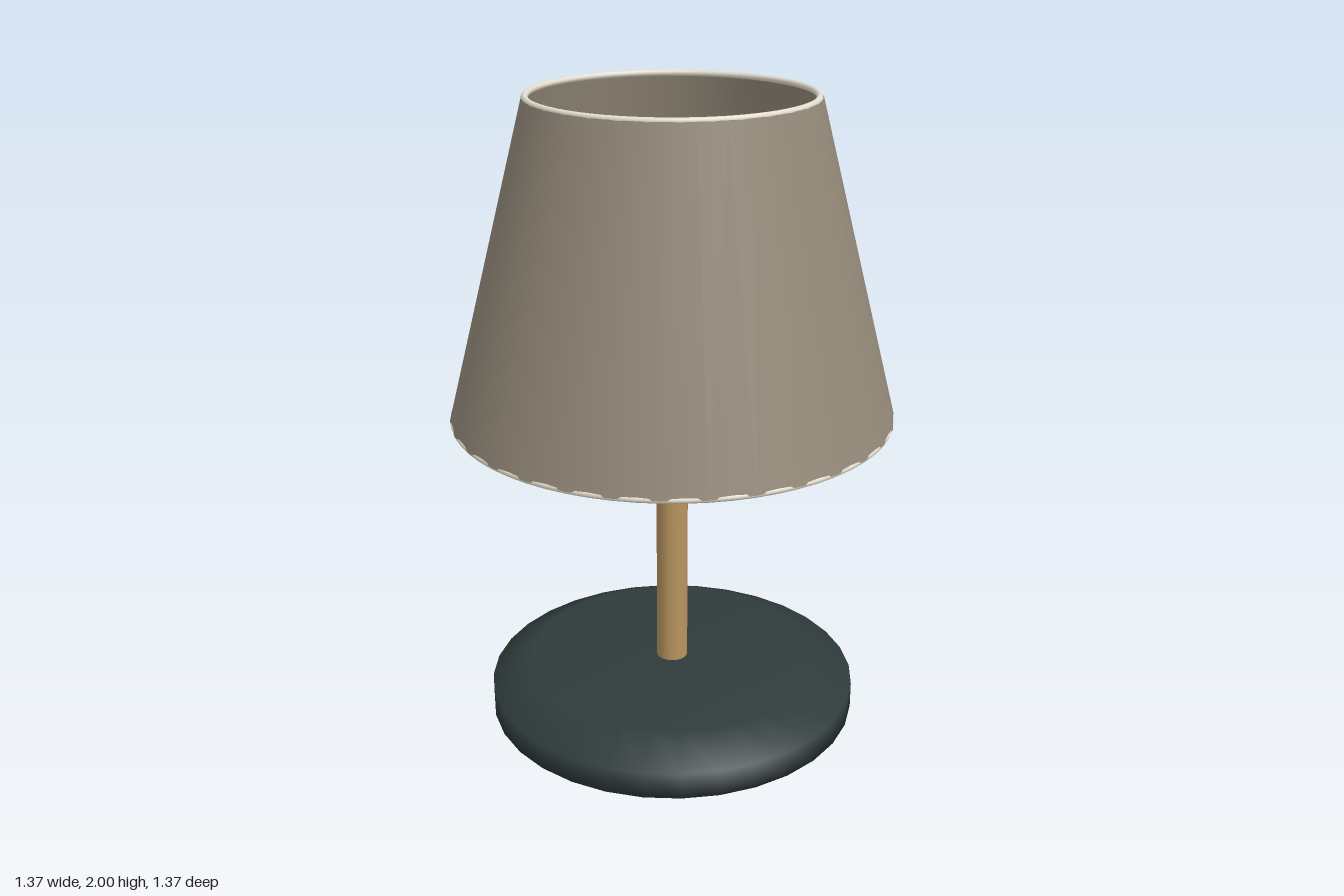
import * as THREE from 'three';

const flat = (name, color, side = THREE.FrontSide) => {
  const m = new THREE.MeshStandardMaterial({ color, side });
  m.name = name;
  return m;
};

export function createModel() {
  const lamp = new THREE.Group();
  lamp.name = 'tableLamp';

  const darkGreen = flat('darkGreen', 0x2f3c3b);
  const wood = flat('wood', 0xb8945f);
  const taupe = flat('taupeFabric', 0x958a7a, THREE.DoubleSide);
  const cream = flat('cream', 0xe4dfd0);

  const add = (name, geometry, material, y = 0) => {
    const mesh = new THREE.Mesh(geometry, material);
    mesh.name = name;
    mesh.position.y = y;
    lamp.add(mesh);
    return mesh;
  };

  // Round base with a softly shaded bevel
  const profile = [[0, 0], [0.595, 0], [0.595, 0.085], [0.465, 0.15], [0, 0.15]]
    .map(([r, y]) => new THREE.Vector2(r, y));
  add('base', new THREE.LatheGeometry(profile, 32), darkGreen);

  // Wooden pole
  add('pole', new THREE.CylinderGeometry(0.05, 0.05, 0.84, 24), wood, 0.56);

  // Slightly elongated bulb hanging inside the shade
  add('bulb', new THREE.SphereGeometry(0.15, 32, 20), cream, 1.38).scale.y = 1.2;

  // Open conical shade, half a facet out of step with its trim
  const shadeHeight = 0.97;
  add('shade', new THREE.CylinderGeometry(0.435, 0.686, shadeHeight, 32, 1, true), taupe,
    1.02 + shadeHeight / 2).rotation.y = Math.PI / 32;

  // Piping along both shade rims
  for (const [name, radius, y] of [['lowerTrim', 0.675, 1.02], ['upperTrim', 0.424, 1.99]]) {
    add(name, new THREE.TorusGeometry(radius, 0.01, 10, 64), cream, y).rotation.x = Math.PI / 2;
  }

  return lamp;
}
